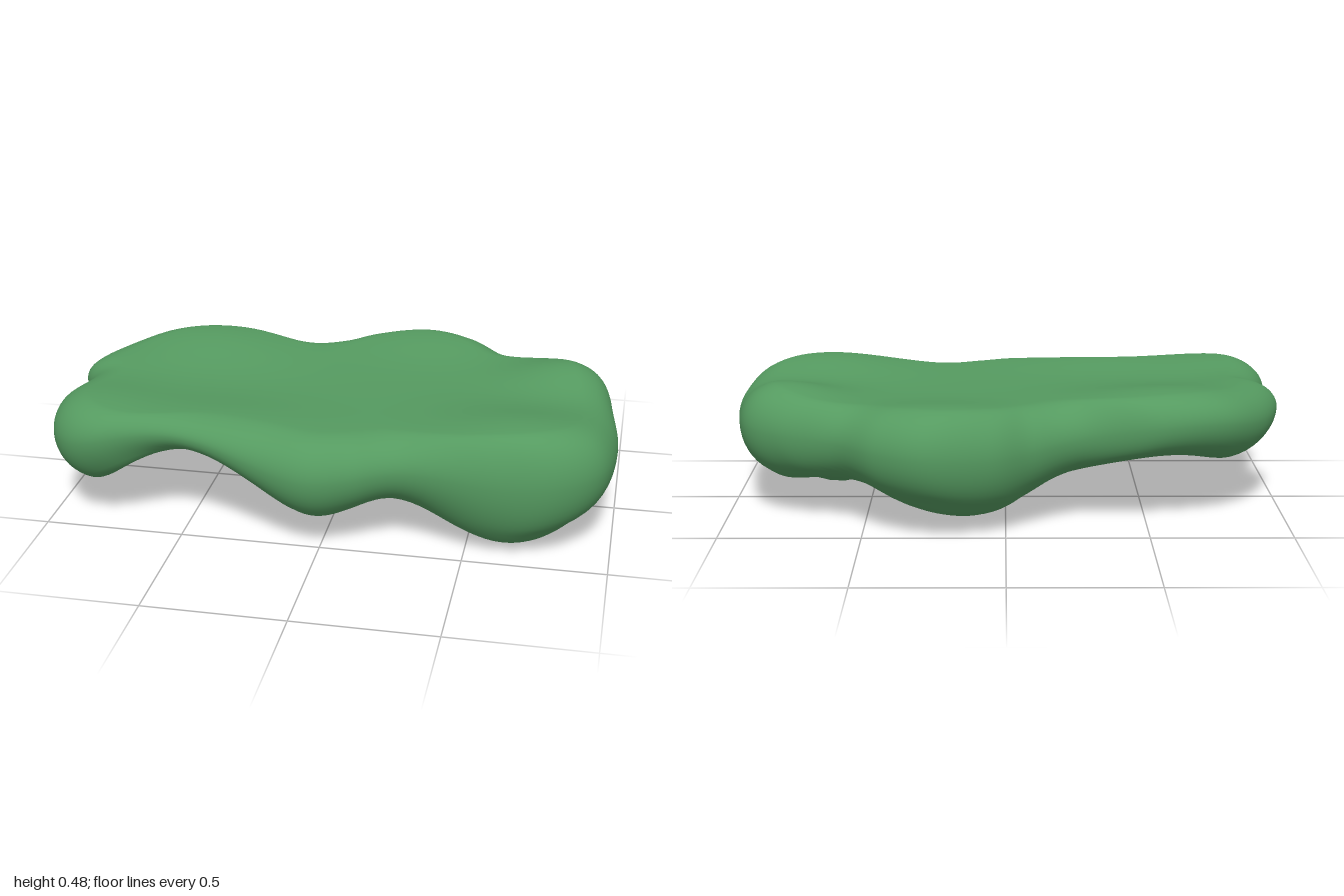
import * as THREE from 'three';

// Outline of the pad seen from above: x, z
const OUTLINE = [
  [1.0, .15], [.965, .36], [.83, .48], [.62, .52], [.3, .51], [.12, .57], [-.04, .605],
  [-.25, .56], [-.52, .51], [-.8, .545], [-.95, .475], [-1, .32], [-.955, .1], [-1, -.02],
  [-.93, -.2], [-.78, -.36], [-.55, -.43], [-.28, -.4], [-.1, -.47], [.05, -.56],
  [.27, -.61], [.45, -.54], [.6, -.41], [.8, -.35], [.93, -.25], [.975, -.06],
];

// Soft swellings: x, z, height, spread in x, spread in z
const TOP_BUMPS = [
  [.8, -.18, .06, .15, .12], [.7, .36, .05, .22, .16], [-.58, -.28, .055, .26, .18],
  [-.88, .36, .035, .16, .16], [-.4, .42, .025, .28, .14], [.25, -.46, .035, .22, .14],
  [-.9, .0, .02, .12, .12],
];
const UNDER_BUMPS = [
  [.63, .26, .225, .22, .24], [.13, -.39, .185, .27, .18], [-.86, .41, .13, .13, .14],
  [-.03, .46, .14, .16, .16], [.8, -.2, .05, .14, .12], [-.84, -.17, .075, .14, .16],
  [-.48, .45, -.05, .18, .12], [-.33, .0, .025, .25, .2],
];

const swell = (bumps, x, z) => bumps.reduce((sum, [bx, bz, h, sx, sz]) =>
  sum + h * Math.exp(-(((x - bx) / sx) ** 2 + ((z - bz) / sz) ** 2) / 2), 0);
const topAt = (x, z) => .42 + swell(TOP_BUMPS, x, z);
const underAt = (x, z) => Math.max(0, .245 - .035 * x - swell(UNDER_BUMPS, x, z));

const ROUND_TOP = .14, ROUND_UNDER = .17, RIM_STEPS = 12, FLAT_STEPS = 16;

// Cross-section from the top centre over the rim to the bottom centre
function section(p) {
  const R = p.length(), dir = p.clone().divideScalar(R), points = [];
  // Heights near the rim are held from a little further in, so the rim stays full
  const height = (surface, r) => {
    const held = Math.min(r, R - .09);
    return surface(dir.x * held, dir.z * held);
  };
  const mid = THREE.MathUtils.lerp(height(underAt, R), height(topAt, R), .56);
  const add = (r, surface, lift) =>
    points.push([dir.x * r, mid + (height(surface, r) - mid) * lift, dir.z * r]);
  for (let k = 1; k < FLAT_STEPS; k++) add((R - ROUND_TOP) * k / FLAT_STEPS, topAt, 1);
  for (let k = 0; k <= RIM_STEPS; k++) {
    const a = (k / RIM_STEPS) * Math.PI / 2;
    add(R - ROUND_TOP * (1 - Math.sin(a)), topAt, Math.cos(a));
  }
  for (let k = 1; k <= RIM_STEPS; k++) {
    const a = (k / RIM_STEPS) * Math.PI / 2;
    add(R - ROUND_UNDER * (1 - Math.cos(a)), underAt, Math.sin(a));
  }
  for (let k = FLAT_STEPS - 1; k > 0; k--) add((R - ROUND_UNDER) * k / FLAT_STEPS, underAt, 1);
  return points;
}

function padGeometry() {
  const N = 208;
  const outline = new THREE.CatmullRomCurve3(
    OUTLINE.map(([x, z]) => new THREE.Vector3(x, 0, z)), true, 'catmullrom', .5);
  const rings = Array.from({ length: N }, (_, i) => section(outline.getPoint(i / N)));
  const M = rings[0].length;
  const pos = [0, topAt(0, 0), 0, 0, underAt(0, 0), 0, ...rings.flat(2)];
  const index = [], at = (i, j) => 2 + (i % N) * M + j;
  for (let i = 0; i < N; i++) {
    index.push(0, at(i + 1, 0), at(i, 0));
    for (let j = 0; j < M - 1; j++) {
      index.push(at(i, j), at(i + 1, j), at(i, j + 1));
      index.push(at(i + 1, j), at(i + 1, j + 1), at(i, j + 1));
    }
    index.push(1, at(i, M - 1), at(i + 1, M - 1));
  }
  const geo = new THREE.BufferGeometry();
  geo.setAttribute('position', new THREE.Float32BufferAttribute(pos, 3));
  geo.setIndex(index);
  geo.computeVertexNormals();
  return geo;
}

export function createModel() {
  const group = new THREE.Group();
  group.name = 'foliagePad';
  const green = new THREE.MeshStandardMaterial({ color: 0x559a60 });
  green.name = 'leaf green';
  const pad = new THREE.Mesh(padGeometry(), green);
  pad.name = 'foliage';
  group.add(pad);
  return group;
}
